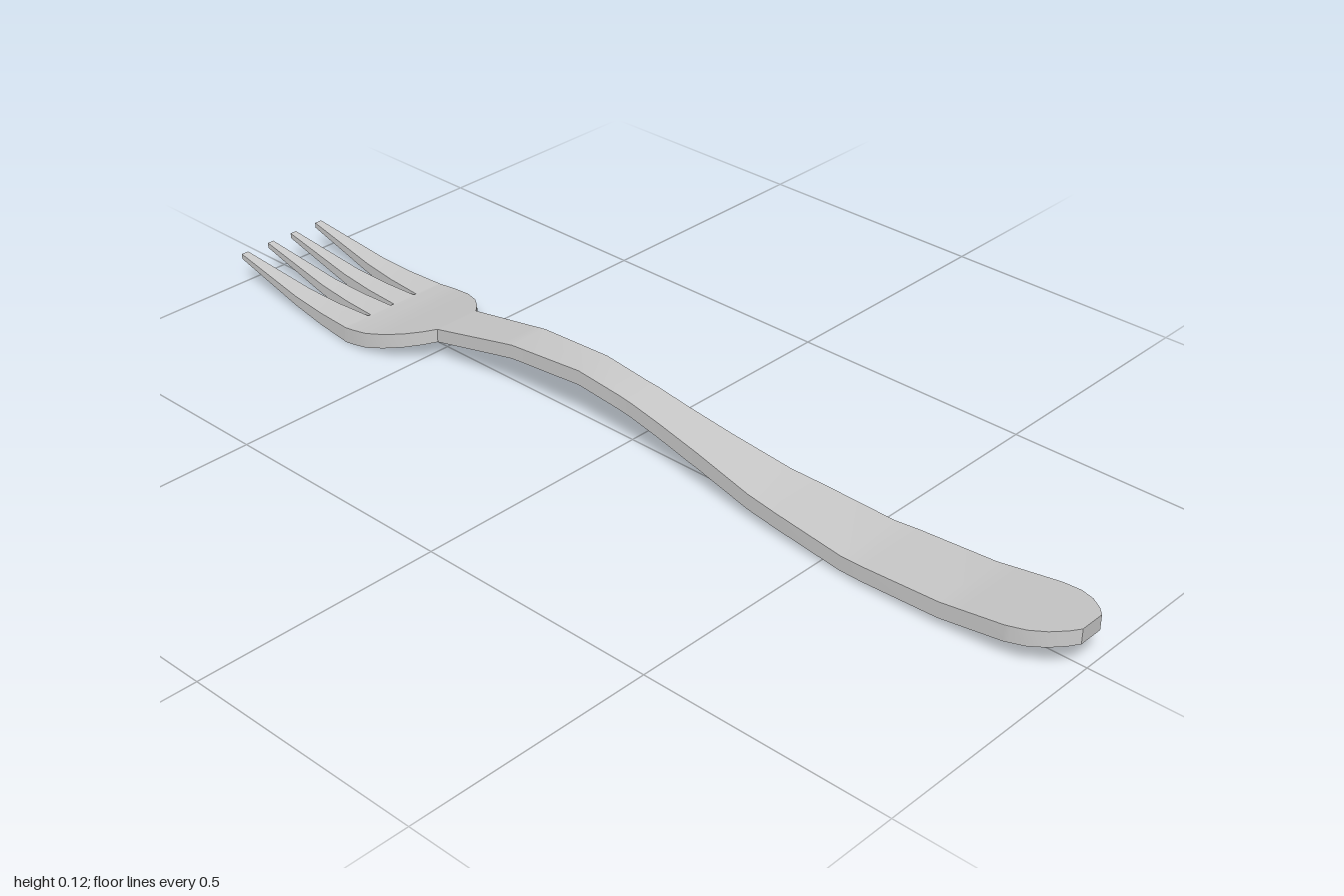
import * as THREE from 'three';

// Side profile: [z, bottom y, top y]
const PROFILE = [
  [1, 0.064, 0.094], [0.9, 0.045, 0.077], [0.76, 0.023, 0.055], [0.55, 0.013, 0.043],
  [0.33, 0.028, 0.059], [0.18, 0.053, 0.085], [0.03, 0.081, 0.111], [-0.1, 0.095, 0.125],
  [-0.27, 0.085, 0.114], [-0.47, 0.046, 0.074], [-0.6, 0.012, 0.044], [-0.655, 0.003, 0.036],
  [-0.74, 0.009, 0.036], [-0.82, 0.02, 0.041], [-1, 0.056, 0.067],
];

// Linear lookup in a table sorted by falling z
function sample(table, z, col) {
  let i = 0;
  while (i < table.length - 2 && table[i + 1][0] > z) i++;
  const a = table[i], b = table[i + 1];
  return THREE.MathUtils.lerp(a[col], b[col], (a[0] - z) / (a[0] - b[0]));
}

// Curved slab between left and right outlines; outline rows are [z, left x, right x]
function slab(name, outline, material) {
  const zFirst = outline[0][0], zLast = outline[outline.length - 1][0];
  const zs = [...new Set([...outline, ...PROFILE].map((r) => r[0]))]
    .filter((z) => z <= zFirst && z >= zLast)
    .sort((a, b) => b - a);
  const edge = (xCol, yCol) => zs.map((z) => [sample(outline, z, xCol), sample(PROFILE, z, yCol), z]);
  const lb = edge(1, 1), lt = edge(1, 2), rb = edge(2, 1), rt = edge(2, 2);
  const n = zs.length - 1;

  const positions = [], index = [];
  const strip = (a, b) => {
    const base = positions.length / 3;
    a.forEach((p, i) => positions.push(...p, ...b[i]));
    for (let i = 0; i < a.length - 1; i++) {
      const k = base + i * 2;
      index.push(k, k + 1, k + 3, k, k + 3, k + 2);
    }
  };
  strip(lt, rt); // top
  strip(rb, lb); // underside
  strip(rt, rb); // side walls
  strip(lb, lt);
  strip([lb[0], lt[0]], [rb[0], rt[0]]); // ends
  strip([rb[n], rt[n]], [lb[n], lt[n]]);

  const geometry = new THREE.BufferGeometry();
  geometry.setAttribute('position', new THREE.Float32BufferAttribute(positions, 3));
  geometry.setIndex(index);
  geometry.computeVertexNormals();
  const mesh = new THREE.Mesh(geometry, material);
  mesh.name = name;
  return mesh;
}

const mirrored = (rows) => rows.map(([z, w]) => [z, -w, w]);

export function createModel() {
  const group = new THREE.Group();
  group.name = 'fork';
  const metal = new THREE.MeshStandardMaterial({ color: 0xcccccc });

  // Handle with rounded end and slim neck
  group.add(slab('handle', mirrored([
    [1, 0.026], [0.985, 0.043], [0.96, 0.062], [0.93, 0.075], [0.89, 0.081], [0.8, 0.08],
    [0.6, 0.077], [0.4, 0.064], [0.2, 0.046], [0.1, 0.04], [0, 0.037], [-0.1, 0.038],
    [-0.3, 0.044], [-0.47, 0.051],
  ]), metal));

  // Head with rounded shoulders
  group.add(slab('head', mirrored([
    [-0.47, 0.051], [-0.49, 0.073], [-0.52, 0.096], [-0.56, 0.114], [-0.6, 0.123],
    [-0.63, 0.125], [-0.66, 0.125],
  ]), metal));

  // Four tapering tines, mirrored in pairs
  const tines = [
    ['innerTine', 0.004, 0.057, 0.023, 0.037],
    ['outerTine', 0.063, 0.125, 0.089, 0.105],
  ];
  for (const [name, a0, b0, a1, b1] of tines) {
    group.add(slab(name + 'Left', [[-0.66, a0, b0], [-1, a1, b1]], metal));
    group.add(slab(name + 'Right', [[-0.66, -b0, -a0], [-1, -b1, -a1]], metal));
  }
  return group;
}
